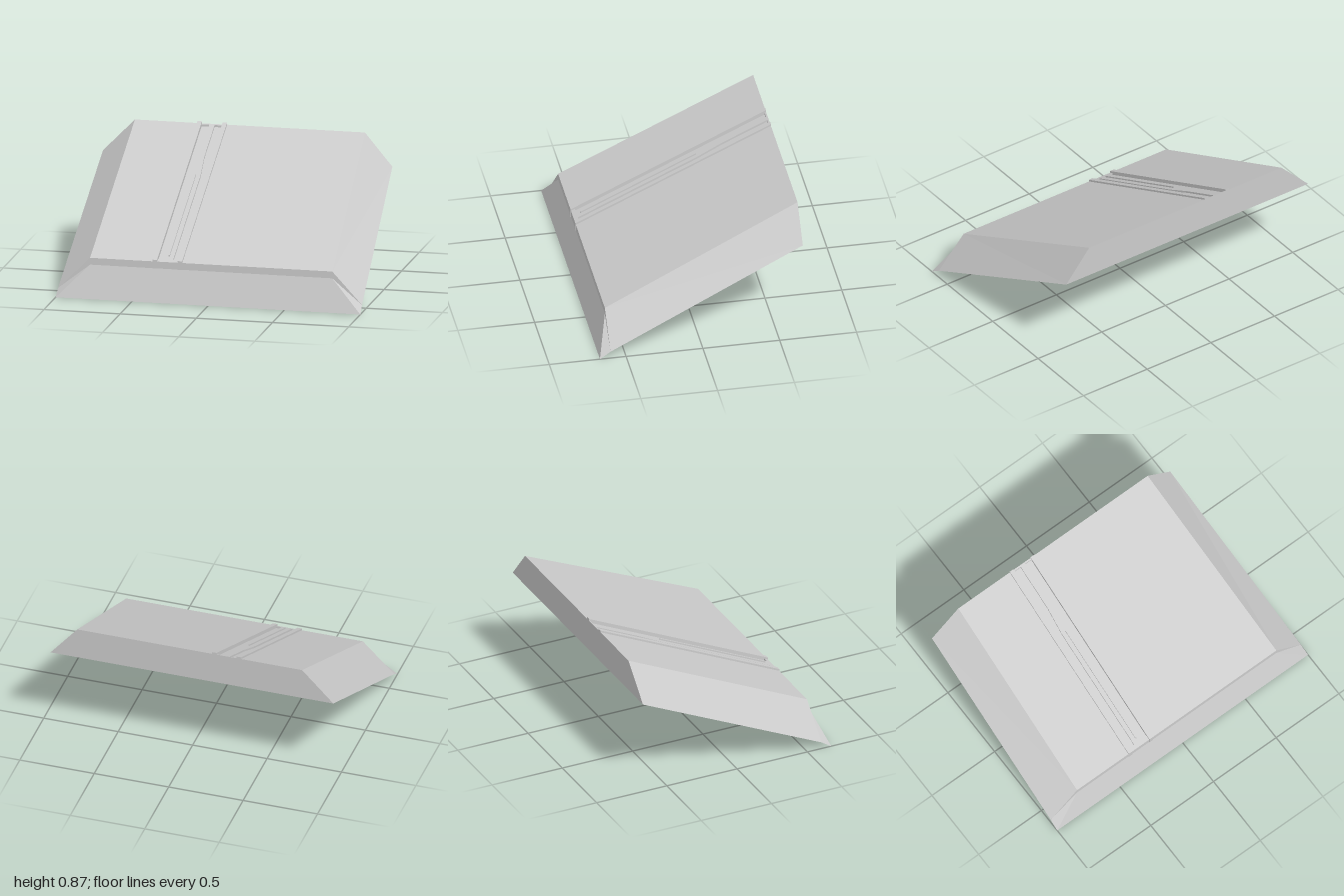
import * as THREE from 'three';

const grey = new THREE.MeshStandardMaterial({ color: 0xcccccc, flatShading: true });

// height of the sloping deck at depth z
const deckY = (z) => 0.255 + (0.6 - z) * 0.4724;

// mesh from flat polygons, each a loop of corners seen counter-clockwise
function facets(name, faces) {
  const pos = [];
  for (const f of faces)
    for (let i = 1; i < f.length - 1; i++) pos.push(...f[0], ...f[i], ...f[i + 1]);
  const g = new THREE.BufferGeometry();
  g.setAttribute('position', new THREE.Float32BufferAttribute(pos, 3));
  g.computeVertexNormals();
  const mesh = new THREE.Mesh(g, grey);
  mesh.name = name;
  return mesh;
}

// lay a flat outline (x, -z) on the slope
function onSlope(name, shape, lift) {
  const g = new THREE.ShapeGeometry(shape);
  const p = g.attributes.position;
  for (let i = 0; i < p.count; i++) {
    const z = -p.getY(i);
    p.setXYZ(i, p.getX(i), deckY(z) + lift, z);
  }
  g.computeVertexNormals();
  const mesh = new THREE.Mesh(g, grey);
  mesh.name = name;
  return mesh;
}

// box sheared to follow the slope
function slopeBar(name, x, width, zFront, zBack, rise, sink) {
  const h = rise + sink, len = zFront - zBack;
  const g = new THREE.BoxGeometry(width, h, len);
  g.translate(x, (rise - sink) / 2, (zFront + zBack) / 2);
  const p = g.attributes.position;
  for (let i = 0; i < p.count; i++) p.setY(i, p.getY(i) + deckY(p.getZ(i)));
  g.computeVertexNormals();
  const mesh = new THREE.Mesh(g, grey);
  mesh.name = name;
  return mesh;
}

const toShape = (pts) => new THREE.Shape(pts.map(([x, z]) => new THREE.Vector2(x, -z)));

export function createModel() {
  const group = new THREE.Group();

  // body: back, middle and front cross-sections
  const a = [-0.79, 0.855, -0.67], b = [0.72, 0.855, -0.67], c = [0.9, 0.64, -0.67], d = [-1, 0.64, -0.67];
  const e = [-0.79, 0.255, 0.6], f = [0.8, 0.255, 0.6], g = [0.995, 0.045, 0.6], h = [-1, 0.045, 0.6];
  const i = [-0.79, 0.21, 0.6], j = [0.8, 0.21, 0.6], k = [1, 0, 0.67], l = [-1, 0, 0.67];
  group.add(facets('slopeBody', [
    [a, b, c, d], [f, g, c, b], [e, a, d, h], [h, d, c, g], [e, i, j, f], [f, j, g], [e, h, i],
  ]));
  group.add(facets('frontSkirt', [[i, l, k, j], [j, k, g], [h, l, i], [l, h, g, k]]));

  // deck with two sunken channels either side of a tapering island
  const depth = 0.013, centre = -0.2825;
  const leftChannel = [[-0.35, 0.575], [-0.315, 0.575], [-0.315, -0.2], [-0.3, -0.37], [-0.3, -0.66], [-0.35, -0.66]];
  const rightChannel = leftChannel.map(([x, z]) => [2 * centre - x, z]).reverse();
  const deck = toShape([[-0.79, 0.6], [0.8, 0.6], [0.72, -0.67], [-0.79, -0.67]]);
  for (const pts of [leftChannel, rightChannel]) {
    deck.holes.push(toShape(pts));
    group.add(onSlope('channelFloor', toShape(pts), -depth));
    const at = ([x, z], dy) => [x, deckY(z) + dy, z];
    group.add(facets('channelWalls', pts.map((p, n) => {
      const q = pts[(n + 1) % pts.length];
      return [at(q, -depth), at(p, -depth), at(p, 0), at(q, 0)];
    })));
  }
  group.add(onSlope('deck', deck, 0));

  // side kerbs running over the front edge, and the thin centre rail
  for (const s of [-1, 1]) group.add(slopeBar('kerb', centre + s * 0.0825, 0.03, 0.603, -0.67, 0.013, 0.045));
  group.add(slopeBar('centreRail', centre, 0.006, 0.55, -0.2, 0.01, 0.01));
  return group;
}
